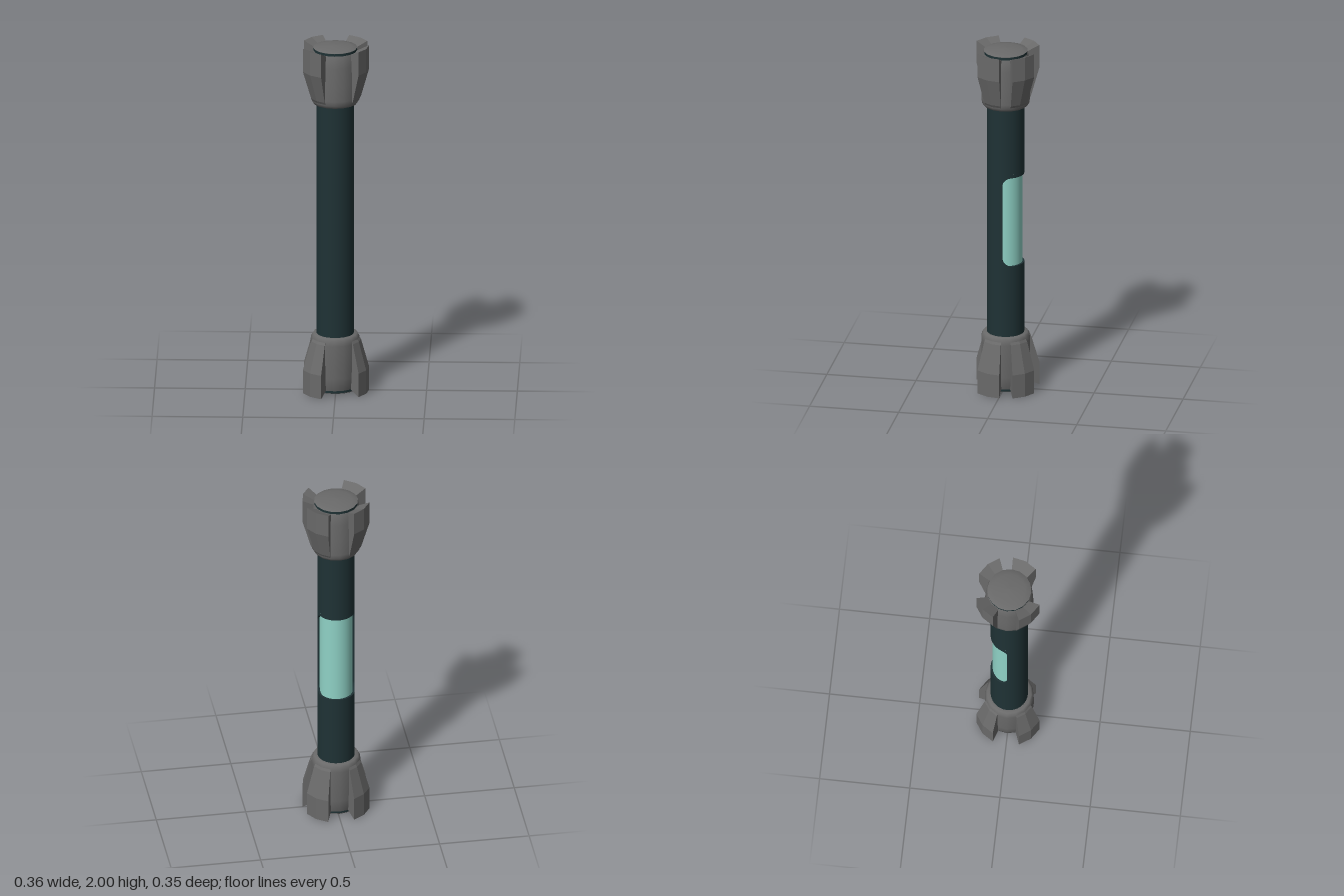
import * as THREE from 'three';

const rad = THREE.MathUtils.degToRad;
const grey = new THREE.MeshStandardMaterial({ color: 0x6a6a6a });
const greyFlat = new THREE.MeshStandardMaterial({ color: 0x6a6a6a, flatShading: true });
const dark = new THREE.MeshStandardMaterial({ color: 0x1f3235, side: THREE.DoubleSide });
const glow = new THREE.MeshStandardMaterial({ color: 0x8fd2c6 });

function add(parent, name, geometry, material, y = 0) {
  const mesh = new THREE.Mesh(geometry, material);
  mesh.name = name;
  mesh.position.y = y;
  parent.add(mesh);
  return mesh;
}

const lathe = (pts, n) => new THREE.LatheGeometry(pts.map(p => new THREE.Vector2(...p)), n);

// Sweeps a profile of [radius, y] through angles; columnAt(angle) gives the profile
function sweep(angles, columnAt, closed) {
  const pos = [], idx = [];
  const n = columnAt(angles[0]).length;
  for (const a of angles)
    for (const [r, y] of columnAt(a)) pos.push(r * Math.sin(a), y, r * Math.cos(a));
  for (let i = 0; i < angles.length - 1; i++)
    for (let j = 0; j < (closed ? n : n - 1); j++) {
      const k = (j + 1) % n, p = i * n, q = p + n;
      idx.push(p + j, q + j, q + k, p + j, q + k, p + k);
    }
  if (closed) {
    const e = (angles.length - 1) * n;
    for (let j = 1; j < n - 1; j++) idx.push(0, j, j + 1, e, e + j + 1, e + j);
  }
  const g = new THREE.BufferGeometry();
  g.setAttribute('position', new THREE.Float32BufferAttribute(pos, 3));
  g.setIndex(idx);
  const out = closed ? g : g.toNonIndexed();
  out.computeVertexNormals();
  return out;
}

// End cap, built for the top: collar, flared fins, inner plug and domed disc
function endCap(name, sign) {
  const cap = new THREE.Group();
  cap.name = name;
  add(cap, 'collar', lathe([[0.1, 1.668], [0.122, 1.668], [0.133, 1.685], [0.136, 1.71],
    [0.136, 1.8], [0.131, 1.9], [0.126, 1.97], [0.11, 1.97]], 16), grey);
  add(cap, 'plug', new THREE.CylinderGeometry(0.12, 0.12, 0.05, 16, 1, true), dark, 1.962);
  add(cap, 'endDisc', lathe([[0.118, 1.982], [0.122, 1.987], [0.09, 1.993], [0.045, 1.998], [0, 2]], 16), grey);
  for (const [deg, r] of [[-135, 0.189], [135, 0.189], [-45, 0.191], [67.5, 0.187]]) {
    const angles = [-22.5, 0, 22.5].map(d => rad(sign * deg + d));
    const profile = [[0.11, 1.69], [0.133, 1.69], [0.142, 1.705], [r, 1.865], [r, 2], [0.124, 1.97], [0.11, 1.97]];
    add(cap, 'fin', sweep(angles, () => profile, true), greyFlat);
  }
  return cap;
}

export function createModel() {
  const model = new THREE.Group();
  const baton = new THREE.Group();
  baton.name = 'baton';
  baton.position.set(-0.004, 0, -0.003);
  model.add(baton);

  const R = 0.103, inner = 0.092, y0 = 0.745, y1 = 1.265, corner = 0.05;

  // Tube: plain ends and the closed front half
  for (const [a, b] of [[0.3, y0 - 0.02], [y1 + 0.02, 1.7]])
    add(baton, 'tubeEnd', new THREE.CylinderGeometry(R, R, b - a, 32, 1, true), dark, (a + b) / 2);
  add(baton, 'tubeFront', new THREE.CylinderGeometry(R, R, y1 - y0 + 0.04, 16, 1, true, -Math.PI / 2, Math.PI),
    dark, (y0 + y1) / 2);

  // Rounded rims of the window that covers the back half
  const angles = [];
  for (let i = 0; i <= 40; i++) angles.push(Math.PI - Math.cos(i / 40 * Math.PI) * Math.PI / 2);
  const rise = a => {
    const d = corner - R * (Math.PI / 2 - Math.abs(a - Math.PI));
    return d > 0 ? corner - Math.sqrt(Math.max(0, corner * corner - d * d)) : 0;
  };
  const skin = (name, columnAt) => add(baton, name, sweep(angles, columnAt, false), dark);
  const smoothSkin = (name, columnAt) => {
    const g = skin(name, columnAt).geometry, p = g.attributes.position;
    for (let i = 0; i < p.count; i++) g.attributes.normal.setXYZ(i, p.getX(i) / R, 0, p.getZ(i) / R);
  };
  smoothSkin('lowerRim', a => [[R, y0 - 0.02], [R, y0 + rise(a)]]);
  smoothSkin('upperRim', a => [[R, y1 - rise(a)], [R, y1 + 0.02]]);
  skin('lowerLedge', a => [[R, y0 + rise(a)], [inner - 0.002, y0 + rise(a)]]);
  skin('upperLedge', a => [[inner - 0.002, y1 - rise(a)], [R, y1 - rise(a)]]);
  for (const s of [-1, 1]) {
    const wall = add(baton, 'windowSide', new THREE.PlaneGeometry(R - inner + 0.002, y1 - y0 - 2 * corner),
      dark, (y0 + y1) / 2);
    wall.position.x = s * (R + inner - 0.002) / 2;
    wall.rotation.y = Math.PI;
  }

  // Light panel set into the window
  add(baton, 'lightPanel', new THREE.CylinderGeometry(inner, inner, y1 - y0 + 0.02, 24, 1, true,
    Math.PI / 2, Math.PI), glow, (y0 + y1) / 2);

  // Matching caps; the lower one is turned over with its fin angles mirrored
  baton.add(endCap('topCap', 1));
  const lower = endCap('bottomCap', -1);
  lower.rotation.z = Math.PI;
  lower.position.y = 2;
  baton.add(lower);
  return model;
}
